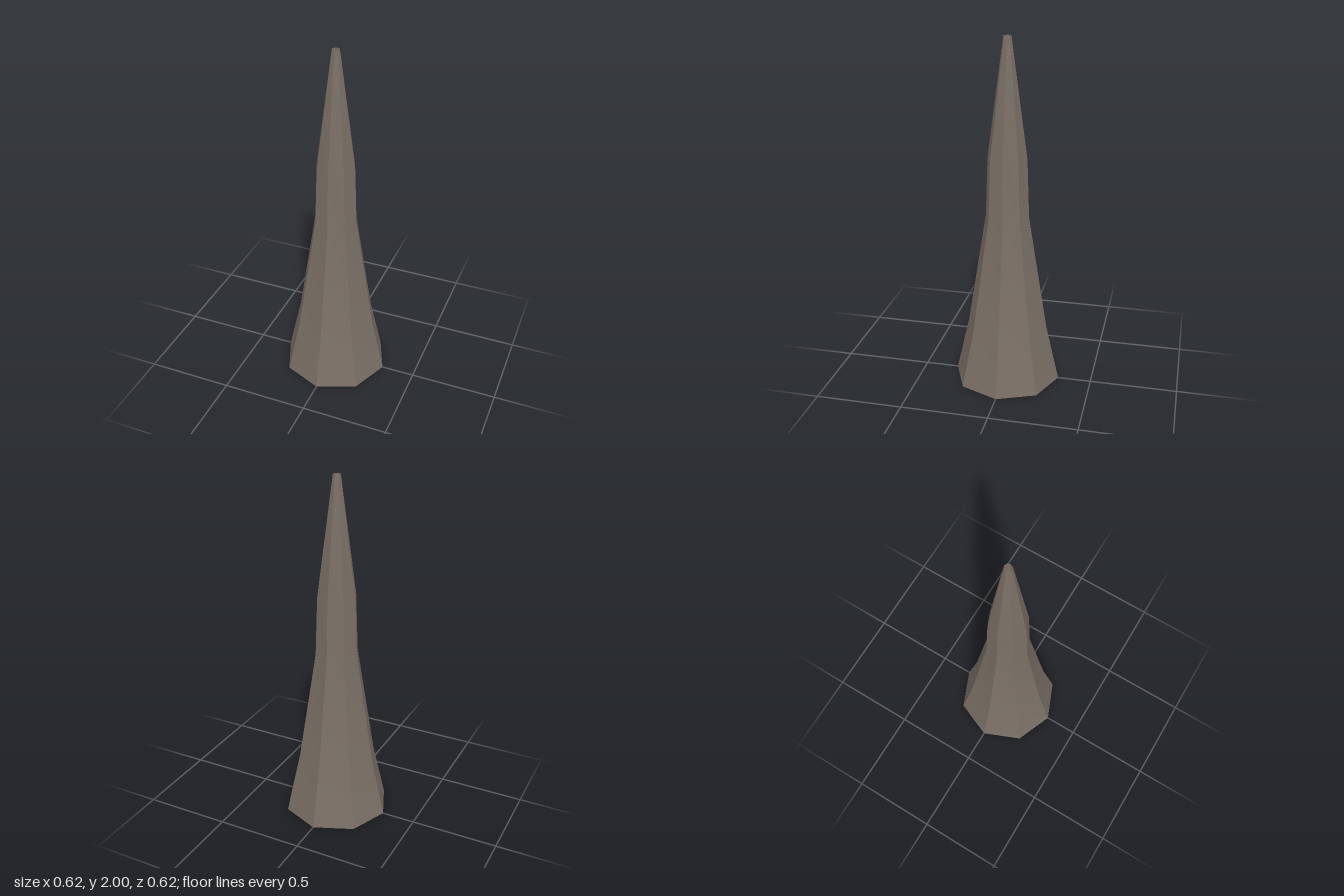
import * as THREE from 'three';
import { toCreasedNormals } from 'three/addons/utils/BufferGeometryUtils.js';

const SIDES = 8;

// Eight-sided shell from [radius, height] points: smooth along its height, sharp at the corners
function facetedLathe(name, profile, material) {
  const points = profile.map(([r, y]) => new THREE.Vector2(r, y));
  const geometry = toCreasedNormals(new THREE.LatheGeometry(points, SIDES), Math.PI / 6);
  const mesh = new THREE.Mesh(geometry, material);
  mesh.name = name;
  return mesh;
}

export function createModel() {
  const group = new THREE.Group();
  group.name = 'taperedSpire';
  const material = new THREE.MeshStandardMaterial({ color: 0x7a6f65, side: THREE.DoubleSide });

  // Outer shell, open underneath: flared foot, waist and tapering tip
  group.add(facetedLathe('outerShell', [
    [0.308, 0], [0.231, 0.335], [0.124, 1], [0.112, 1.335], [0.022, 2],
  ], material));

  // Narrow hollow running down from the rim of the tip to a point inside
  group.add(facetedLathe('innerHollow', [[0.022, 2], [0, 0.12]], material));

  return group;
}
